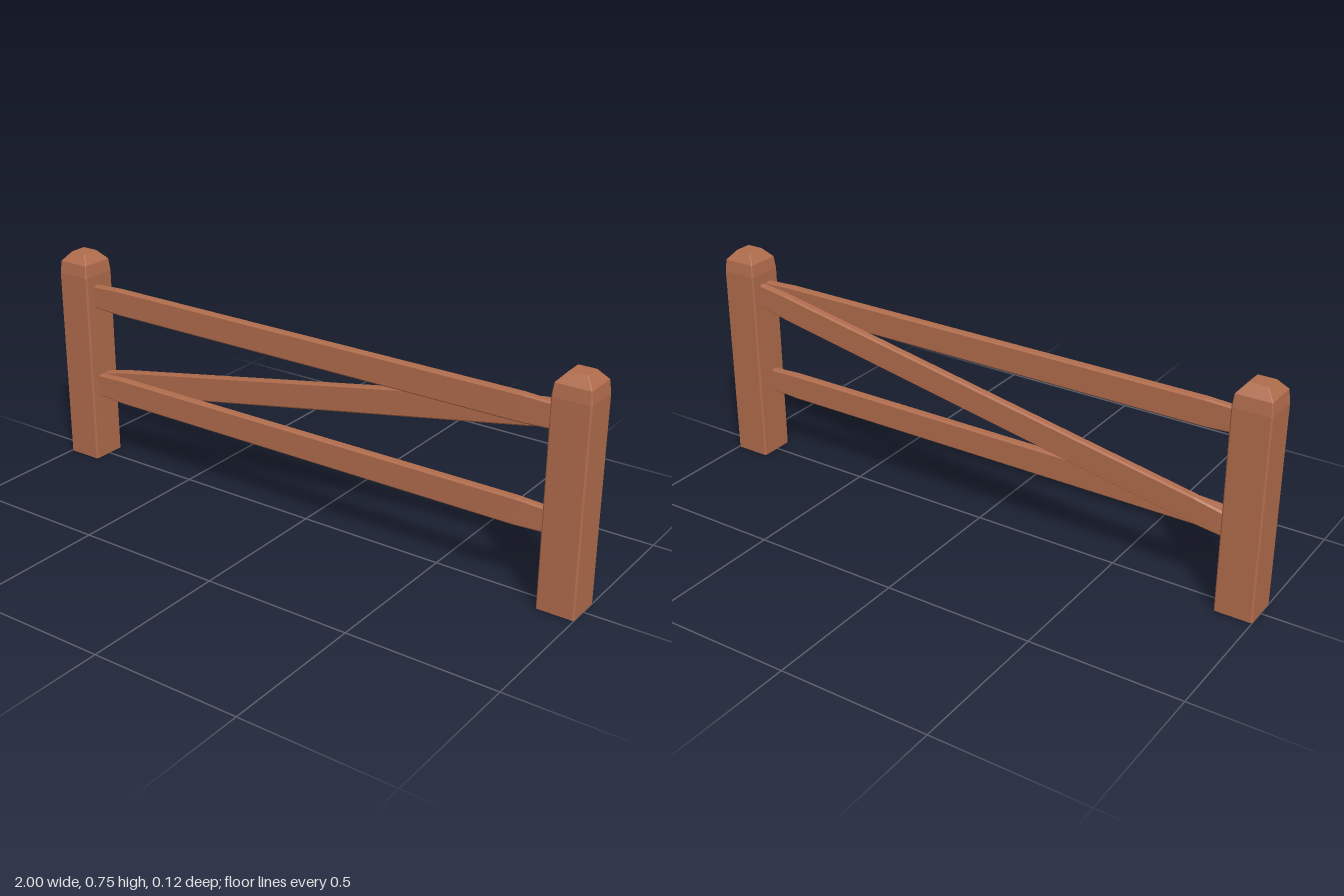
import * as THREE from 'three';

// Rectangle with chamfered corners, counter-clockwise, as [u, v] pairs
function chamferedRect(hu, hv, c) {
  return [
    [hu, -hv + c], [hu, hv - c], [hu - c, hv], [-hu + c, hv],
    [-hu, hv - c], [-hu, -hv + c], [-hu + c, -hv], [hu - c, -hv],
  ];
}

// Skins a list of rings of 3D points, with optional caps at either end
function loft(rings, capStart, capEnd) {
  const n = rings[0].length;
  const index = [];
  for (let r = 0; r < rings.length - 1; r++) {
    for (let i = 0; i < n; i++) {
      const a = r * n + i, b = r * n + (i + 1) % n;
      index.push(a, b, b + n, a, b + n, a + n);
    }
  }
  const last = (rings.length - 1) * n;
  for (let i = 1; i < n - 1; i++) {
    if (capStart) index.push(0, i + 1, i);
    if (capEnd) index.push(last, last + i, last + i + 1);
  }
  const indexed = new THREE.BufferGeometry();
  indexed.setAttribute('position', new THREE.Float32BufferAttribute(rings.flat(2), 3));
  indexed.setIndex(index);
  const geometry = indexed.toNonIndexed();
  geometry.computeVertexNormals();
  return geometry;
}

// Upright post, open underneath, with a stepped tapering top
function postGeometry() {
  const levels = [
    [0, 0.0625, 0.005], [0.675, 0.0625, 0.005],
    [0.716, 0.057, 0.002], [0.748, 0.029, 0.001],
  ];
  return loft(levels.map(([y, half, c]) =>
    chamferedRect(half, half, c).map(([u, v]) => [u, y, -v])), false, true);
}

// Flat rail whose centre line runs from yLeft (-x) to yRight (+x), ends slightly narrowed
function railGeometry(yLeft, yRight, z) {
  const stations = [[-0.88, 0.04, 0.013], [-0.77, 0.045, 0.015], [0.77, 0.045, 0.015], [0.88, 0.04, 0.013]];
  return loft(stations.map(([x, halfHeight, halfDepth]) => {
    const y = THREE.MathUtils.mapLinear(x, -0.88, 0.88, yLeft, yRight);
    return chamferedRect(halfHeight, halfDepth, 0.005).map(([u, v]) => [x, y + u, z + v]);
  }), true, true);
}

export function createModel() {
  const group = new THREE.Group();
  group.name = 'fence';
  const wood = new THREE.MeshStandardMaterial({ color: 0xb06c4c, flatShading: true, side: THREE.DoubleSide });
  wood.name = 'reddish brown wood';

  const add = (name, geometry, x = 0) => {
    const mesh = new THREE.Mesh(geometry, wood);
    mesh.name = name;
    mesh.position.x = x;
    group.add(mesh);
  };

  const post = postGeometry();
  add('rightPost', post, -0.9375);
  add('leftPost', post, 0.9375);

  // Horizontal rails in front, diagonal brace behind
  add('topRail', railGeometry(0.6, 0.6, 0.015), 0);
  add('bottomRail', railGeometry(0.272, 0.272, 0.015), 0);
  add('diagonalBrace', railGeometry(0.272, 0.6, -0.015), 0);
  return group;
}
